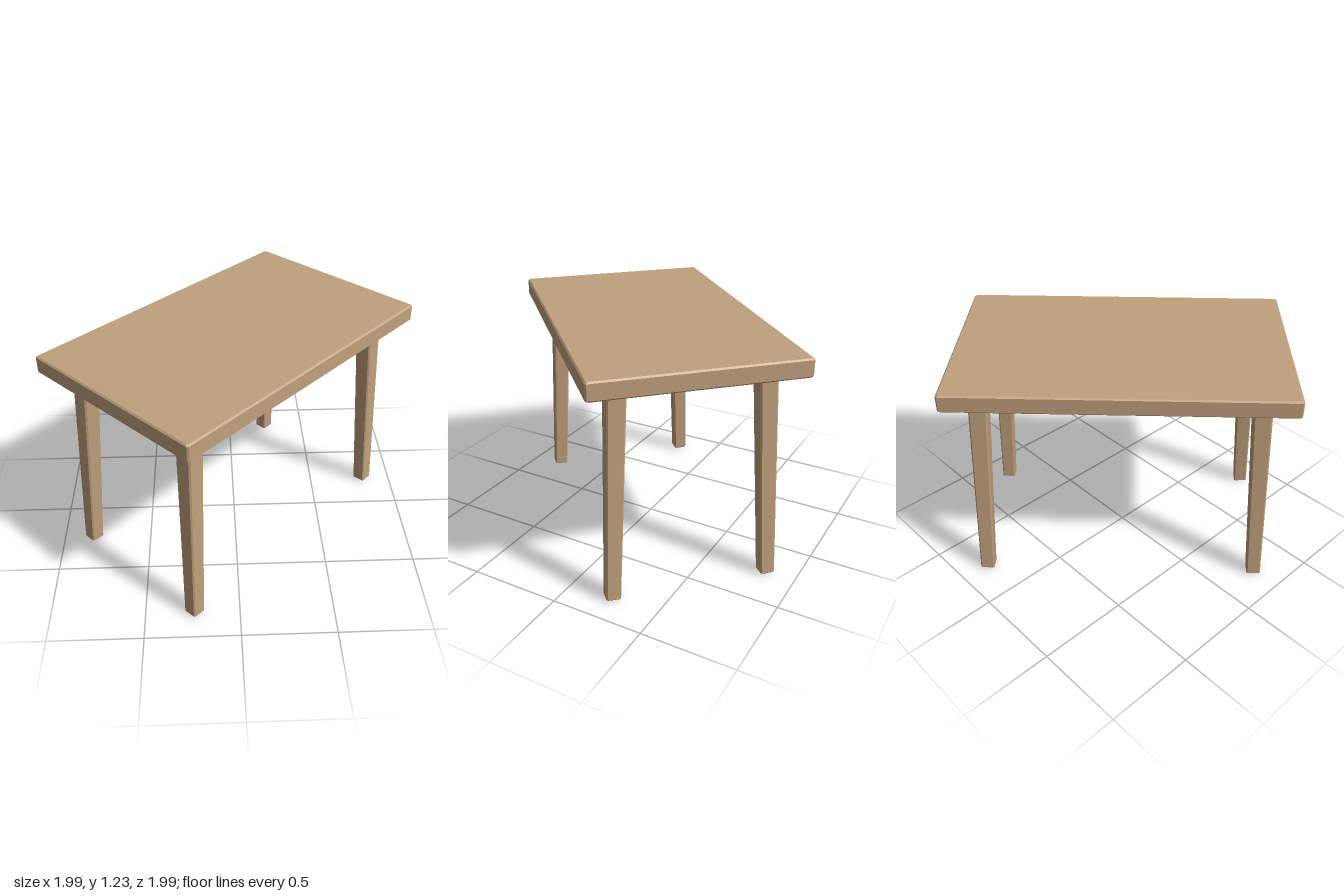
import * as THREE from 'three';

const wood = new THREE.MeshStandardMaterial({ color: 0xc0a07c });
wood.name = 'light wood';

// Rectangle with cut corners at height y
function ring([hx, hz, y, c]) {
  return [[hx, -hz + c], [hx, hz - c], [hx - c, hz], [-hx + c, hz],
    [-hx, hz - c], [-hx, -hz + c], [-hx + c, -hz], [hx - c, -hz]]
    .map(([x, z]) => new THREE.Vector3(x, y, z));
}

// Flat-shaded solid through rings, listed from the underside outwards and up, closed at both ends
function loft(sections) {
  const rings = sections.map(ring);
  const pts = [];
  const last = rings.length - 1;
  const low = new THREE.Vector3(0, sections[0][2], 0);
  const high = new THREE.Vector3(0, sections[last][2], 0);
  for (let i = 0; i < 8; i++) {
    const j = (i + 1) % 8;
    pts.push(low, rings[0][i], rings[0][j]);
    pts.push(high, rings[last][j], rings[last][i]);
    for (let k = 0; k < last; k++) {
      const a = rings[k], b = rings[k + 1];
      pts.push(a[i], b[i], a[j], a[j], b[i], b[j]);
    }
  }
  const geo = new THREE.BufferGeometry().setFromPoints(pts);
  geo.computeVertexNormals();
  return geo;
}

export function createModel() {
  const table = new THREE.Group();
  table.name = 'table';

  // Table top with a rim around a recessed underside
  const hx = 0.873, hz = 0.541, rim = 0.055, e = 0.008;
  const top = new THREE.Mesh(loft([
    [hx - rim, hz - rim, 1.2, 0.004],
    [hx - rim, hz - rim, 1.138, 0.004],
    [hx - e, hz - e, 1.138, e],
    [hx, hz, 1.138 + e, e],
    [hx, hz, 1.235 - e, e],
    [hx - e, hz - e, 1.235, e],
  ]), wood);
  top.name = 'tableTop';
  table.add(top);

  // Four tapered, splayed legs
  const up = new THREE.Vector3(0, 1, 0);
  for (const sx of [-1, 1]) for (const sz of [-1, 1]) {
    const foot = new THREE.Vector3(sx * 0.757, 0.004, sz * 0.417);
    const head = new THREE.Vector3(sx * 0.701, 1.205, sz * 0.369);
    const axis = head.clone().sub(foot);
    const leg = new THREE.Mesh(loft([
      [0.032, 0.032, 0, 0.006],
      [0.038, 0.038, 0.006, 0.006],
      [0.049, 0.049, axis.length(), 0.008],
    ]), wood);
    leg.name = (sz > 0 ? 'front' : 'back') + (sx > 0 ? 'Left' : 'Right') + 'Leg';
    leg.position.copy(foot);
    leg.quaternion.setFromUnitVectors(up, axis.normalize());
    table.add(leg);
  }

  // The table stands diagonally
  table.rotation.y = Math.PI / 4;
  const model = new THREE.Group();
  model.name = 'model';
  model.add(table);
  return model;
}
